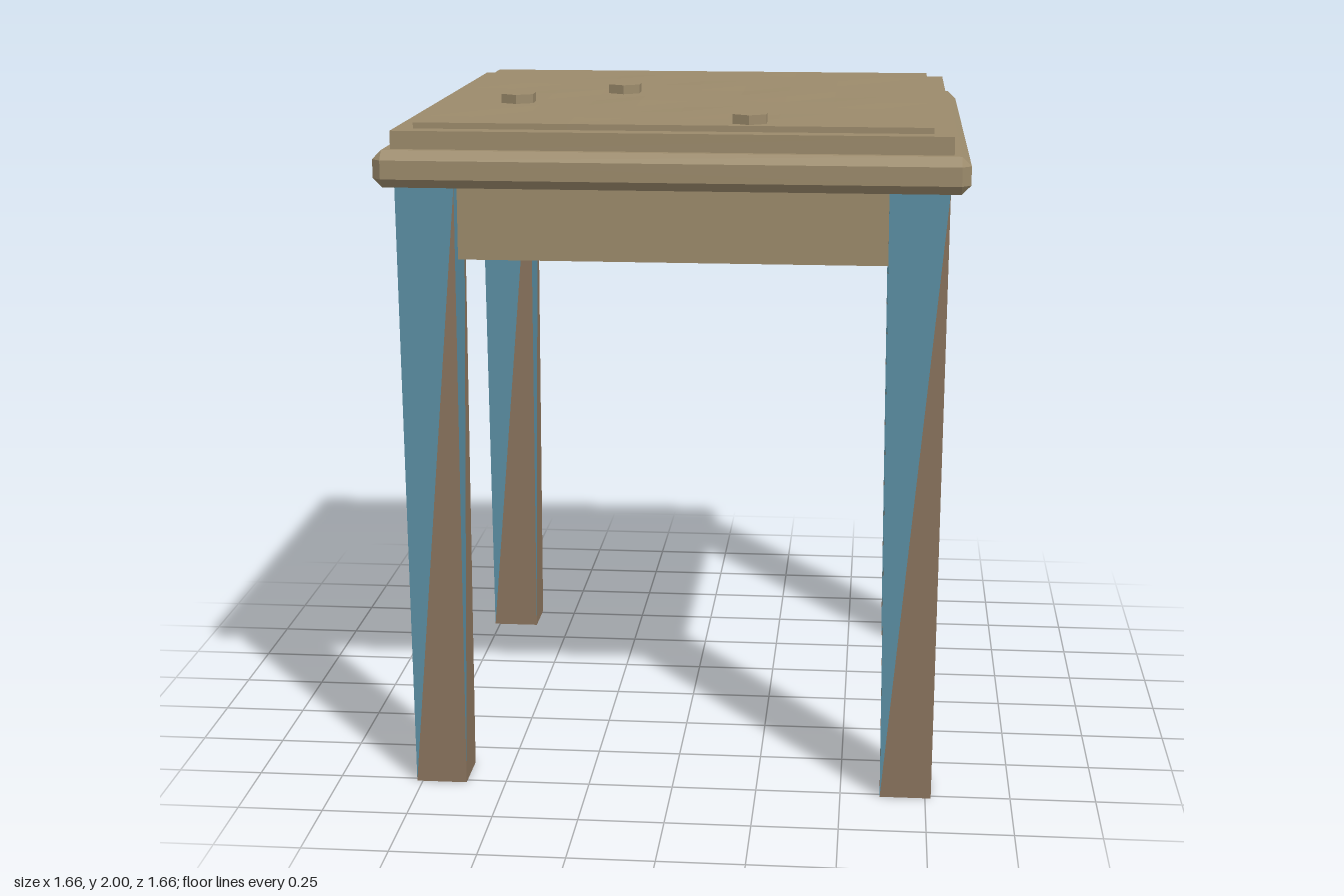
import * as THREE from 'three';
import { ConvexGeometry } from 'three/addons/geometries/ConvexGeometry.js';

const material = (color) => new THREE.MeshStandardMaterial({ color, flatShading: true });

// Box with every edge cut back by c (half sizes given)
function chamferedBox(hx, hy, hz, c) {
  const points = [];
  for (const x of [-1, 1]) for (const y of [-1, 1]) for (const z of [-1, 1]) {
    points.push(
      new THREE.Vector3(x * hx, y * (hy - c), z * (hz - c)),
      new THREE.Vector3(x * (hx - c), y * hy, z * (hz - c)),
      new THREE.Vector3(x * (hx - c), y * (hy - c), z * hz)
    );
  }
  return new ConvexGeometry(points);
}

// Tapered square leg: each side splits diagonally into a painted and a bare triangle
function legGeometry(halfTop, halfBottom, height) {
  const g = new THREE.CylinderGeometry(halfTop * Math.SQRT2, halfBottom * Math.SQRT2, height, 4);
  g.rotateY(Math.PI / 4);
  g.clearGroups();
  for (let i = 0; i < 4; i++) {
    g.addGroup(i * 6, 3, 0);
    g.addGroup(i * 6 + 3, 3, 1);
  }
  g.addGroup(24, 24, 1); // end caps
  return g;
}

export function createModel() {
  const model = new THREE.Group();
  const wood = material(0x9b8a6b);
  const legWood = material(0x8a745d);
  const paint = material(0x5b8fa3);

  const add = (name, geometry, mat, x, y, z) => {
    const mesh = new THREE.Mesh(geometry, mat);
    mesh.name = name;
    mesh.position.set(x, y, z);
    model.add(mesh);
  };

  // Stepped top: chamfered slab, middle tier, thin surface panel
  add('topSlab', chamferedBox(0.83, 0.0525, 0.83, 0.026), wood, 0, 1.8525, 0);
  add('topTier', new THREE.BoxGeometry(1.566, 0.06, 1.566), wood, 0, 1.926, 0);

  // Surface panel, very slightly uneven inside its border
  const panel = new THREE.BoxGeometry(1.456, 0.03, 1.456, 10, 1, 10);
  const p = panel.attributes.position;
  for (let i = 0; i < p.count; i++) {
    const x = p.getX(i), z = p.getZ(i);
    if (p.getY(i) > 0 && Math.max(Math.abs(x), Math.abs(z)) < 0.72) {
      p.setY(i, p.getY(i) + 0.002 * Math.sin(x * 17 + z * 5) * Math.cos(z * 13 - x * 7));
    }
  }
  add('surfacePanel', panel, wood, 0, 1.958, 0);

  // Hexagonal studs on the surface
  for (const [x, z] of [[-0.51, 0.215], [-0.22, -0.075], [0.215, 0.655]]) {
    add('stud', new THREE.CylinderGeometry(0.055, 0.055, 0.04, 6), wood, x, 1.98, z);
  }

  // Front and back aprons between the legs
  for (const side of [1, -1]) {
    add(side > 0 ? 'frontApron' : 'backApron',
      new THREE.BoxGeometry(1.24, 0.225, 0.07), wood, 0, 1.6975, side * 0.695);
  }

  // Four legs
  const leg = legGeometry(0.084, 0.075, 1.8);
  for (const x of [1, -1]) for (const z of [1, -1]) {
    add((z > 0 ? 'front' : 'back') + (x > 0 ? 'Left' : 'Right') + 'Leg',
      leg, [paint, legWood], x * 0.692, 0.9, z * 0.692);
  }

  return model;
}
